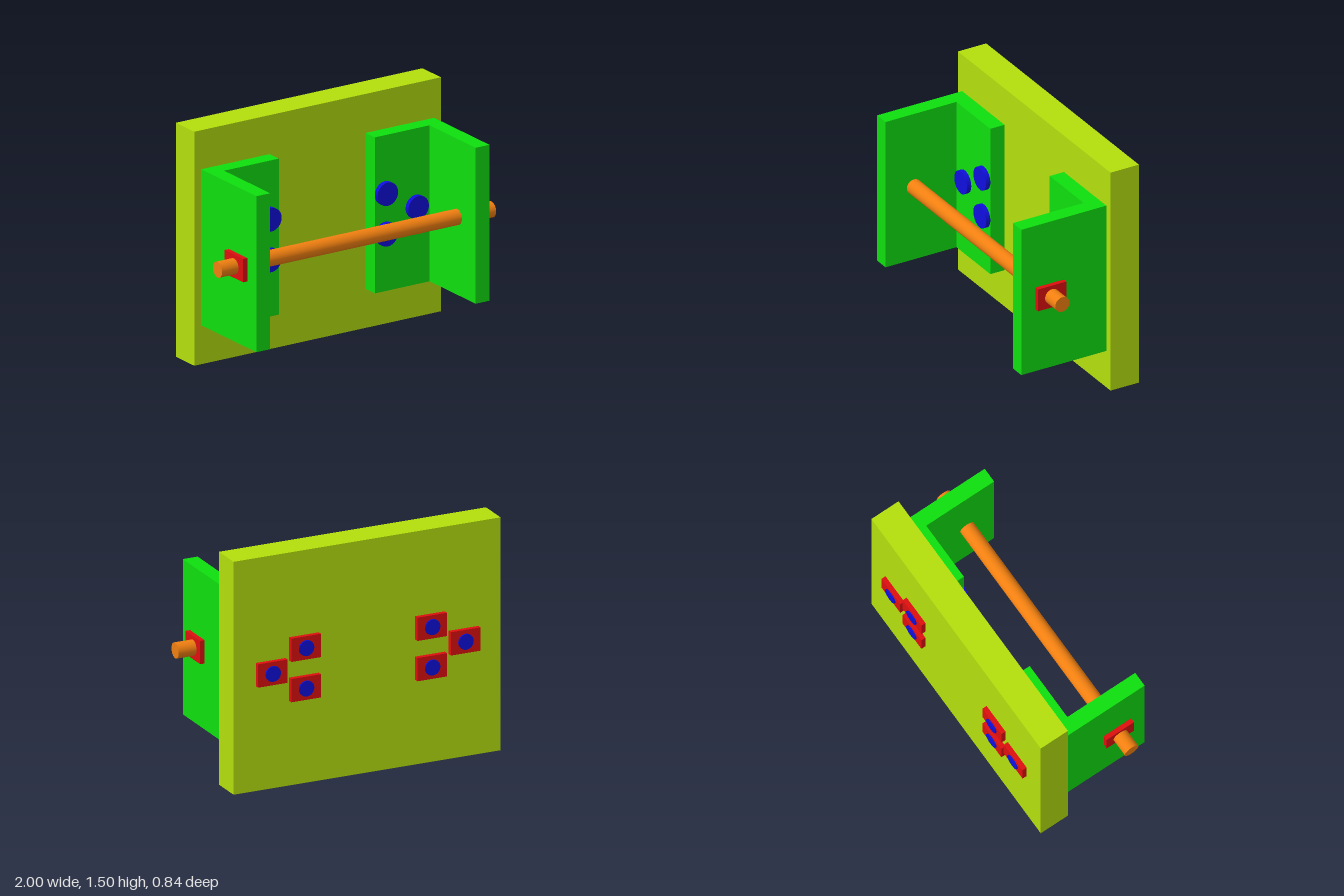
import * as THREE from 'three';

const paint = (color) => new THREE.MeshStandardMaterial({ color });
const LIME = paint(0xb3df0d), GREEN = paint(0x0fdf0f), RED = paint(0xdf0f0f);
const BLUE = paint(0x0f0fdf), ORANGE = paint(0xf07f10);

function add(parent, name, geometry, material, x, y, z) {
  const mesh = new THREE.Mesh(geometry, material);
  mesh.name = name;
  mesh.position.set(x, y, z);
  parent.add(mesh);
  return mesh;
}

// cylinder running along z
const pin = (r, length) => new THREE.CylinderGeometry(r, r, length, 48).rotateX(Math.PI / 2);

// L-shaped bracket: flange against the plate, arm reaching forward
function bracketGeometry(side) {
  const outline = [[0.35, 0.18], [0.85, 0.18], [0.85, -0.42], [0.75, -0.42], [0.75, 0.08], [0.35, 0.08]];
  const shape = new THREE.Shape(outline.map(([x, y]) => new THREE.Vector2(side * x, y)));
  return new THREE.ExtrudeGeometry(shape, { depth: 1, bevelEnabled: false }).rotateX(-Math.PI / 2);
}

// bolt through flange and plate, with its nut on the back
function addBolt(parent, x, y) {
  const bolt = new THREE.Group();
  bolt.name = 'bolt';
  bolt.position.set(x, y, 0);
  add(bolt, 'boltHead', pin(0.075, 0.03), BLUE, 0, 0, -0.065);
  add(bolt, 'boltShank', pin(0.05, 0.34), BLUE, 0, 0, -0.25);
  add(bolt, 'boltNut', new THREE.BoxGeometry(0.2, 0.15, 0.03), RED, 0, 0, -0.395);
  parent.add(bolt);
}

export function createModel() {
  const model = new THREE.Group();
  model.name = 'rodHolder';

  add(model, 'backPlate', new THREE.BoxGeometry(1.8, 1.5, 0.2), LIME, 0, 0.75, -0.28);

  for (const side of [-1, 1]) {
    const half = new THREE.Group();
    half.name = side > 0 ? 'leftSupport' : 'rightSupport';
    add(half, 'bracket', bracketGeometry(side), GREEN, 0, 0.25, 0);
    for (const [x, y] of [[0.425, 0.88], [0.425, 0.62], [0.65, 0.75]]) addBolt(half, side * x, y);
    add(half, 'rodNut', new THREE.BoxGeometry(0.03, 0.15, 0.2), RED, side * 0.865, 0.75, 0.22);
    model.add(half);
  }

  // rod through both arms
  add(model, 'rod', new THREE.CylinderGeometry(0.05, 0.05, 2, 48).rotateZ(Math.PI / 2), ORANGE, 0, 0.75, 0.22);

  return model;
}
